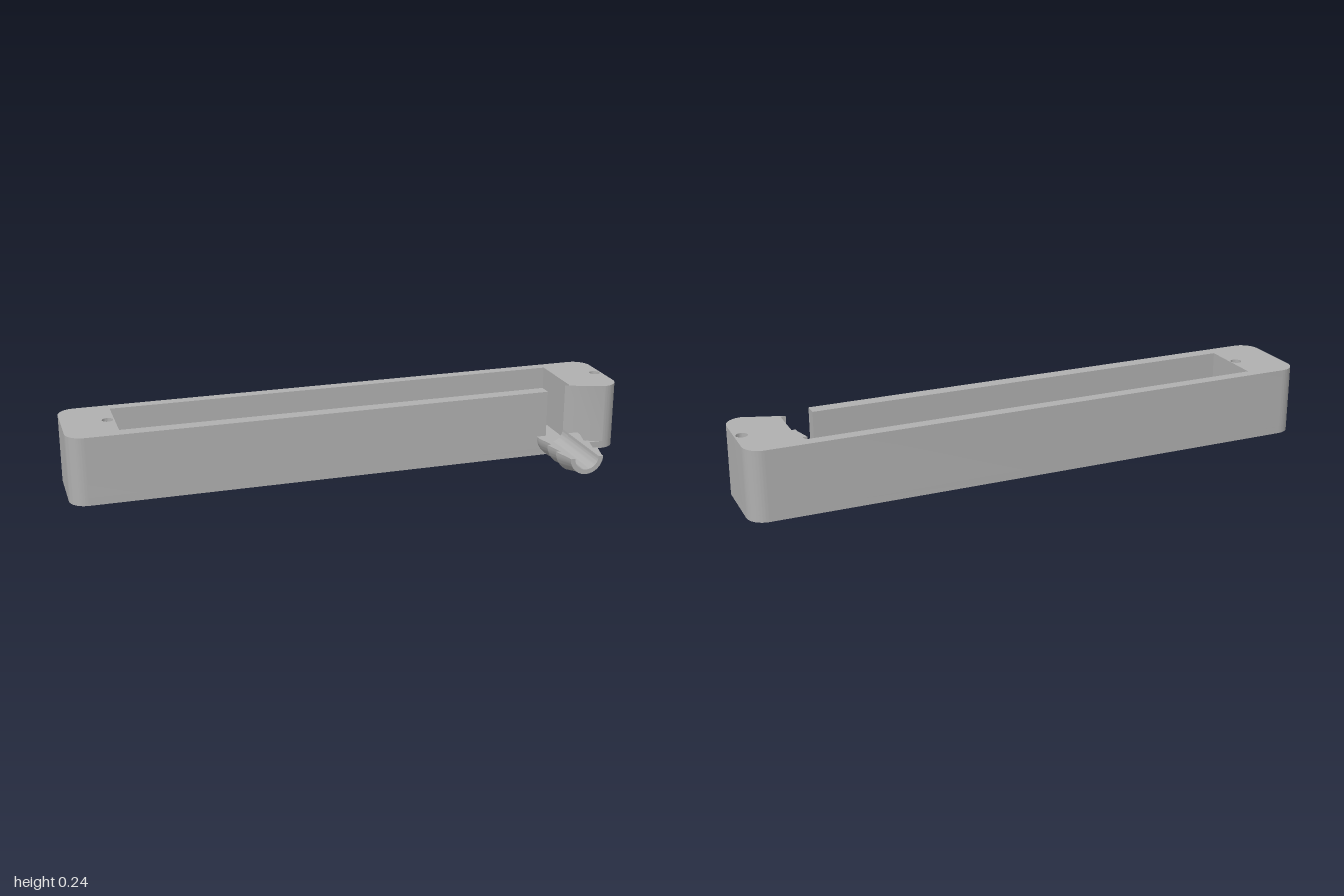
import * as THREE from 'three';
import { toCreasedNormals } from 'three/addons/utils/BufferGeometryUtils.js';

const BACK = -0.28, FRONT = 0.035, TOP = 0.24, FLOOR = 0.027, CORNER = 0.06;
const CAV = { x: 0.82, back: -0.24, front: -0.012 };
const BORE = { x: 0.757, y: 0.072, r: 0.045 };
const HOLES = [-0.843, 0.975], HOLE_Z = -0.125, HOLE_R = 0.0195;

export function createModel() {
  const group = new THREE.Group();
  const grey = new THREE.MeshStandardMaterial({ color: 0xb0b0b0 });
  grey.name = 'grey plastic';

  const add = (name, geometry, x = 0, y = 0, z = 0) => {
    const mesh = new THREE.Mesh(toCreasedNormals(geometry, 0.5), grey);
    mesh.name = name;
    mesh.position.set(x, y, z);
    group.add(mesh);
  };
  // Extrude a plan drawn with (x, -z) upward
  const extrudeUp = (shape, depth) =>
    new THREE.ExtrudeGeometry(shape, { depth, bevelEnabled: false, curveSegments: 10 }).rotateX(-Math.PI / 2);

  // Rounded outer outline, from one front x counter-clockwise to another
  const outline = (startX, endX) => {
    const s = new THREE.Shape(), r = CORNER, q = Math.PI / 2;
    s.moveTo(startX, -FRONT);
    s.absarc(1 - r, -FRONT + r, r, -q, 0);
    s.absarc(1 - r, -BACK - r, r, 0, q);
    s.absarc(-1 + r, -BACK - r, r, q, 2 * q);
    s.absarc(-1 + r, -FRONT + r, r, 2 * q, 3 * q);
    s.lineTo(endX, -FRONT);
    return s;
  };

  // Floor slab
  add('floor', extrudeUp(outline(0, 0), FLOOR));

  // Walls with cavity, front slot and end holes
  const walls = outline(BORE.x + BORE.r, BORE.x - BORE.r);
  [[BORE.x - BORE.r, CAV.front], [-CAV.x, CAV.front], [-CAV.x, CAV.back],
    [CAV.x, CAV.back], [CAV.x, CAV.front], [BORE.x + BORE.r, CAV.front]]
    .forEach(([x, z]) => walls.lineTo(x, -z));
  for (const x of HOLES) {
    walls.holes.push(new THREE.Path().absarc(x, -HOLE_Z, HOLE_R, 0, Math.PI * 2, true));
  }
  add('walls', extrudeUp(walls, TOP - FLOOR), 0, FLOOR);

  // Bottoms of the blind holes
  for (const x of HOLES) {
    add('holeBottom', new THREE.CylinderGeometry(HOLE_R, HOLE_R, 0.11, 20), x, FLOOR + 0.055, HOLE_Z);
  }

  // Rounded bottom of the slot
  const saddle = new THREE.Shape();
  saddle.moveTo(-BORE.r, 0);
  saddle.absarc(0, 0, BORE.r, Math.PI, Math.PI * 2);
  saddle.lineTo(BORE.r, FLOOR - BORE.y);
  saddle.lineTo(-BORE.r, FLOOR - BORE.y);
  add('slotSaddle', new THREE.ExtrudeGeometry(saddle,
    { depth: FRONT - CAV.front, bevelEnabled: false, curveSegments: 20 }), BORE.x, BORE.y, CAV.front);

  // Ledges along the cavity sides, each ending in a small post
  for (const [z, dir] of [[CAV.back, 1], [CAV.front, -1]]) {
    add('ledge', new THREE.BoxGeometry(1.52, 0.1 - FLOOR, 0.015), -0.06, (0.1 + FLOOR) / 2, z + dir * 0.0075);
    add('post', new THREE.BoxGeometry(0.022, 0.145 - FLOOR, 0.02), 0.69, (0.145 + FLOOR) / 2, z + dir * 0.01);
  }

  // Half-round barbed spout, flattened where it meets the ground
  const profile = [
    [BORE.r, FRONT], [0.08, FRONT], [0.08, 0.06], [0.063, 0.127], [0.08, 0.127], [0.063, 0.199],
    [0.08, 0.199], [0.062, 0.27], [0.062, 0.282], [BORE.r, 0.282], [BORE.r, FRONT],
  ].map(([r, z]) => new THREE.Vector2(r, z));
  const spout = new THREE.LatheGeometry(profile, 32, -Math.PI / 2, Math.PI).rotateX(Math.PI / 2);
  const pos = spout.attributes.position;
  for (let i = 0; i < pos.count; i++) pos.setY(i, Math.max(pos.getY(i), -BORE.y));
  add('spout', spout, BORE.x, BORE.y);

  // Flat upper rims of the spout
  for (const side of [1, -1]) {
    const rim = new THREE.Shape(profile.slice(0, -1).map((p) => new THREE.Vector2(side * p.x, -p.y)));
    add('spoutRim', new THREE.ShapeGeometry(rim).rotateX(-Math.PI / 2), BORE.x, BORE.y);
  }
  return group;
}
